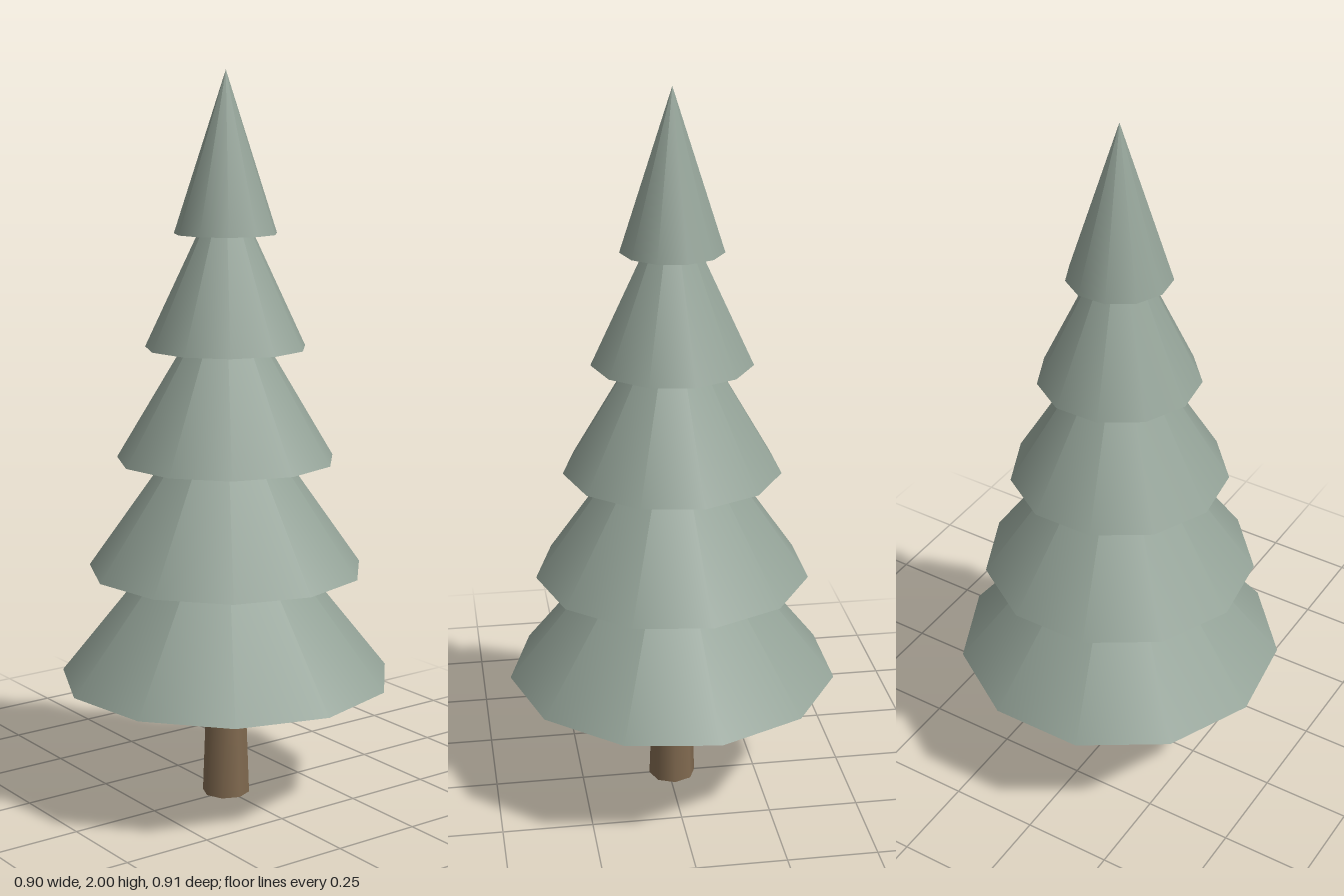
import * as THREE from 'three';

export function createModel() {
  const model = new THREE.Group();
  model.name = 'pineTree';

  const foliage = new THREE.MeshStandardMaterial({ color: 0x93a297 });
  foliage.name = 'sage green foliage';
  const bark = new THREE.MeshStandardMaterial({ color: 0x80694f });
  bark.name = 'brown bark';

  const axisX = -0.01; // the eleven-sided tiers reach slightly further to +x
  const turn = Math.PI / 2; // puts a corner on +x

  const add = (name, geometry, material, y) => {
    const mesh = new THREE.Mesh(geometry, material);
    mesh.name = name;
    mesh.position.set(axisX, y, 0);
    model.add(mesh);
  };

  // Tapered trunk, ending inside the lowest tier
  const trunkHeight = 0.4;
  add('trunk', new THREE.CylinderGeometry(0.051, 0.066, trunkHeight, 8, 1, false, turn), bark, trunkHeight / 2);

  // Five overlapping cones, shrinking evenly towards the tip
  for (let i = 0; i < 5; i++) {
    const base = 0.344 + i * 0.3065;
    const radius = 0.46 - i * 0.08;
    const height = 0.58 - i * 0.0375;
    add(`foliageTier${i + 1}`, new THREE.ConeGeometry(radius, height, 11, 1, false, turn), foliage, base + height / 2);
  }

  return model;
}
